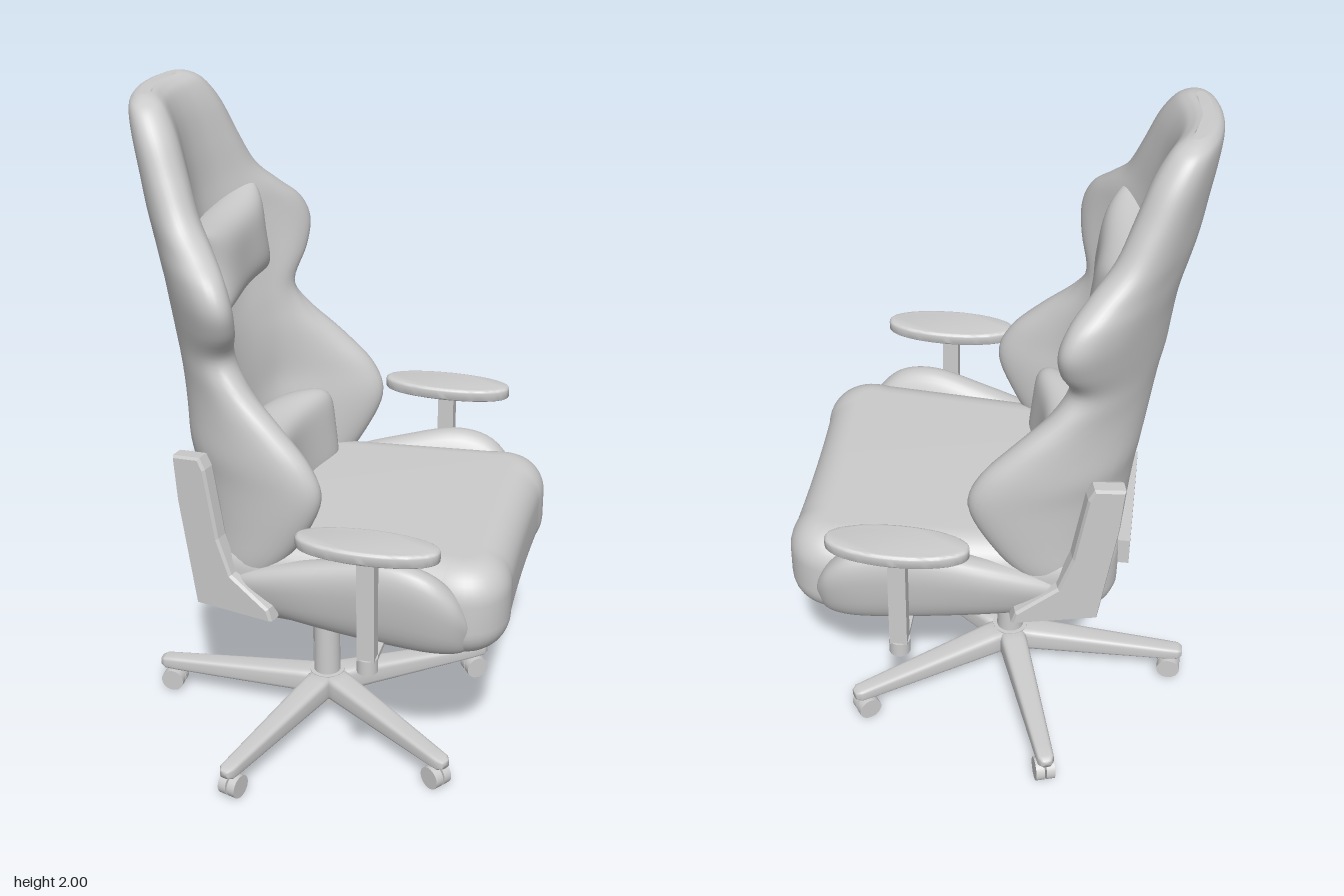
import * as THREE from 'three';
import { mergeVertices, toCreasedNormals } from 'three/addons/utils/BufferGeometryUtils.js';

const mat = new THREE.MeshStandardMaterial({ color: 0xcccccc });
const pow = (v, p) => Math.sign(v) * Math.abs(v) ** p;

function add(parent, name, geometry, x = 0, y = 0, z = 0) {
  const mesh = new THREE.Mesh(geometry, mat);
  mesh.name = name;
  mesh.position.set(x, y, z);
  parent.add(mesh);
  return mesh;
}
const box = (w, h, d) => new THREE.BoxGeometry(w, h, d);
const cyl = (r1, r2, h) => new THREE.CylinderGeometry(r1, r2, h, 32);

// Closed skin over equal-length rings, each counter-clockwise seen from the last ring
function loft(rings) {
  const n = rings[0].length, pos = [], idx = [];
  rings.forEach(r => r.forEach(p => pos.push(...p)));
  for (let i = 0; i < rings.length - 1; i++) {
    for (let j = 0; j < n; j++) {
      const a = i * n + j, b = i * n + (j + 1) % n;
      idx.push(a, b, b + n, a, b + n, a + n);
    }
  }
  [[0, true], [rings.length - 1, false]].forEach(([i, flip]) => {
    const c = pos.length / 3, r = rings[i];
    pos.push(...[0, 1, 2].map(k => r.reduce((s, p) => s + p[k], 0) / n));
    for (let j = 0; j < n; j++) {
      const a = i * n + j, b = i * n + (j + 1) % n;
      idx.push(c, flip ? b : a, flip ? a : b);
    }
  });
  const g = new THREE.BufferGeometry();
  g.setAttribute('position', new THREE.Float32BufferAttribute(pos, 3));
  g.setIndex(idx);
  g.computeVertexNormals();
  return g;
}

// Smooth samples through a table of rows with up to six columns
function sample(rows, count) {
  const curve = k => new THREE.CatmullRomCurve3(
    rows.map(r => new THREE.Vector3(r[k], r[k + 1], r[k + 2] ?? 0)), false, 'catmullrom');
  const a = curve(0), b = curve(3);
  return Array.from({ length: count + 1 }, (_, i) =>
    [...a.getPoint(i / count).toArray(), ...b.getPoint(i / count).toArray()]);
}

// Backrest: a padded section, boxy U below and shallow arc above, with thick round wings
function backrestGeometry() {
  // height, half width, rear z, wing tip z, thickness, boxiness
  const rows = [
    [0.57, 0.27, -0.45, -0.38, 0.05, 1], [0.60, 0.30, -0.475, -0.30, 0.11, 1],
    [0.70, 0.335, -0.485, -0.20, 0.13, 1], [0.82, 0.355, -0.495, -0.115, 0.13, 1],
    [0.95, 0.368, -0.51, -0.06, 0.13, 1], [1.05, 0.368, -0.525, -0.09, 0.13, 1],
    [1.15, 0.355, -0.54, -0.18, 0.13, 0.7], [1.25, 0.335, -0.555, -0.285, 0.13, 0.3],
    [1.33, 0.33, -0.57, -0.335, 0.13, 0], [1.42, 0.385, -0.58, -0.31, 0.13, 0],
    [1.50, 0.415, -0.59, -0.305, 0.13, 0], [1.57, 0.40, -0.605, -0.33, 0.13, 0],
    [1.63, 0.35, -0.62, -0.38, 0.13, 0], [1.70, 0.30, -0.635, -0.44, 0.13, 0],
    [1.80, 0.265, -0.65, -0.485, 0.13, 0], [1.90, 0.235, -0.665, -0.525, 0.125, 0],
    [1.965, 0.20, -0.67, -0.56, 0.105, 0], [1.99, 0.165, -0.66, -0.58, 0.07, 0],
    [2.0, 0.13, -0.64, -0.60, 0.03, 0],
  ];
  const half = [[0.35, 0.03], [0.65, 0.16], [0.85, 0.42], [0.96, 0.75], [1, 1]];
  return loft(sample(rows, 90).map(([y, w, zb, tip, t, k]) => {
    const z0 = zb + t / 2;
    const arm = half.map(([u, b]) => [w * u, z0 + (tip - z0) * (k * b + (1 - k) * u * u)]);
    const mirrored = arm.map(([x, z]) => [-x, z]).reverse();
    const curve = new THREE.SplineCurve([...mirrored, [0, z0], ...arm].map(p => new THREE.Vector2(...p)));
    return Array.from({ length: 72 }, (_, j) => {
      const th = j / 72 * Math.PI * 2, s = Math.sin(th);
      const v = Math.sign(Math.cos(th)) * t / 2 * Math.sqrt(Math.max(0, 1 - s ** 8));
      const c = curve.getPointAt((s + 1) / 2), d = curve.getTangentAt((s + 1) / 2);
      return [c.x - d.y * v, y, c.y + d.x * v];
    });
  }));
}

// Side bolster of the seat, swept from rear to front
function bolsterGeometry(s) {
  // z, centre x, top, bottom, half thickness
  const rows = [
    [-0.36, 0.30, 0.64, 0.58, 0.02], [-0.30, 0.325, 0.69, 0.55, 0.05],
    [-0.16, 0.355, 0.745, 0.54, 0.06], [0, 0.38, 0.79, 0.53, 0.06],
    [0.15, 0.405, 0.82, 0.53, 0.06], [0.26, 0.415, 0.80, 0.53, 0.058],
    [0.33, 0.405, 0.74, 0.53, 0.05], [0.365, 0.39, 0.67, 0.535, 0.03],
    [0.375, 0.38, 0.61, 0.55, 0.01],
  ];
  return loft(sample(rows, 40).map(([z, x, top, bottom, h]) =>
    Array.from({ length: 32 }, (_, j) => {
      const a = j / 32 * Math.PI * 2, sn = pow(Math.sin(a), 0.8);
      return [s * (x + 0.025 * sn) + h * pow(Math.cos(a), 0.8),
        (top + bottom) / 2 + (top - bottom) / 2 * sn, z];
    })));
}

// Stuffed pillow: pinched or rounded outline, bent along its width
function pillowGeometry(w, h, d, { pinch = 0, round = 0, bend = 0, plump = 4 }) {
  const g = new THREE.BoxGeometry(2, 2, 2, 32, 28, 1), p = g.attributes.position;
  for (let i = 0; i < p.count; i++) {
    const u = Math.sin(p.getX(i) * Math.PI / 2), v = Math.sin(p.getY(i) * Math.PI / 2);
    const t = d * Math.sqrt(Math.max(0, (1 - Math.abs(u) ** plump) * (1 - Math.abs(v) ** plump)));
    p.setXYZ(i, w * u * (1 - pinch * (1 - v * v) - round * v ** 6),
      h * v * (1 - pinch * (1 - u * u) - round * u ** 6),
      Math.sign(p.getZ(i)) * t + bend * u * u);
  }
  g.deleteAttribute('normal');
  g.deleteAttribute('uv');
  const m = mergeVertices(g, 1e-5);
  m.computeVertexNormals();
  return m;
}

// Seat cushion: tapered plan with rounded corners and soft edges
function seatGeometry() {
  const r = 0.1, e = new THREE.Shape();
  e.moveTo(-0.22, 0.38);
  e.lineTo(0.22, 0.38);
  e.quadraticCurveTo(0.265, 0.37, 0.275, 0.28);
  e.lineTo(0.32, -0.30);
  e.quadraticCurveTo(0.345, -0.385, 0.26, -0.365);
  e.quadraticCurveTo(0, -0.355, -0.26, -0.365);
  e.quadraticCurveTo(-0.345, -0.385, -0.32, -0.30);
  e.lineTo(-0.275, 0.28);
  e.quadraticCurveTo(-0.265, 0.37, -0.22, 0.38);
  const g = new THREE.ExtrudeGeometry(e, { depth: 0.285 - 2 * r, bevelThickness: r, bevelSize: r,
    bevelSegments: 10, curveSegments: 16 });
  g.translate(0, 0, r).rotateX(-Math.PI / 2);
  return toCreasedNormals(g, 0.7);
}

// Arm pad: a flat oval with a soft rim
function padGeometry() {
  const e = new THREE.Shape().absellipse(0, 0, 0.06, 0.19, 0, Math.PI * 2);
  const g = new THREE.ExtrudeGeometry(e, { depth: 0.02, bevelThickness: 0.01, bevelSize: 0.01,
    bevelSegments: 4, curveSegments: 32 });
  return toCreasedNormals(g.rotateX(-Math.PI / 2), 0.7);
}

// L-shaped bracket joining seat and backrest
function bracketGeometry() {
  const pts = [[-0.43, 0.575], [-0.19, 0.58], [-0.20, 0.61], [-0.32, 0.69], [-0.36, 0.8],
    [-0.395, 1.01], [-0.41, 1.04], [-0.49, 1.03], [-0.48, 0.9]];
  const g = new THREE.ExtrudeGeometry(new THREE.Shape(pts.map(p => new THREE.Vector2(...p))),
    { depth: 0.035, bevelThickness: 0.01, bevelSize: 0.005, bevelSegments: 1 });
  return g.translate(0.3, 0, -0.0175).rotateY(-Math.PI / 2);
}

// Base leg: rounded bar tapering outwards
function legGeometry() {
  const rows = [[0, 0.045, 0.155, 0.07], [0.08, 0.042, 0.15, 0.07], [0.5, 0.027, 0.118, 0.073],
    [0.54, 0.025, 0.115, 0.075], [0.555, 0.015, 0.108, 0.082]];
  return loft(rows.map(([z, w, top, bottom]) => Array.from({ length: 24 }, (_, j) => {
    const a = j / 24 * Math.PI * 2;
    return [w * pow(Math.cos(a), 0.5),
      (top + bottom) / 2 + (top - bottom) / 2 * pow(Math.sin(a), 0.5), z];
  })));
}

export function createModel() {
  const model = new THREE.Group();
  model.name = 'officeChair';
  const chair = new THREE.Group();
  chair.name = 'turnedChair';
  chair.rotation.y = THREE.MathUtils.degToRad(46.6);
  model.add(chair);

  // Upholstery
  add(chair, 'seatCushion', seatGeometry(), 0, 0.515, 0);
  add(chair, 'backrest', backrestGeometry());
  const neck = add(chair, 'neckPillow',
    pillowGeometry(0.255, 0.145, 0.08, { pinch: 0.15, bend: 0.02 }), 0, 1.52, -0.44);
  neck.rotation.x = -0.12;
  const lumbar = add(chair, 'lumbarPillow',
    pillowGeometry(0.27, 0.15, 0.085, { round: 0.12, bend: 0.09, plump: 6 }), 0, 0.865, -0.31);
  lumbar.rotation.x = -0.1;
  add(chair, 'rearBar', box(0.42, 0.085, 0.035), 0, 0.69, -0.495);

  // Paired side parts
  for (const s of [-1, 1]) {
    const side = s > 0 ? 'left' : 'right';
    add(chair, side + 'Bolster', bolsterGeometry(s));
    add(chair, side + 'BackBracket', bracketGeometry(), s * 0.38, 0, -0.3).rotation.y = s * 0.25;
    const arm = new THREE.Group();
    arm.name = side + 'Armrest';
    arm.position.set(s * 0.53, 0, 0.113);
    chair.add(arm);
    add(arm, 'armPad', padGeometry(), 0, 0.91, 0);
    add(arm, 'armPost', box(0.046, 0.34, 0.05), 0, 0.74, 0);
    add(arm, 'armFoot', cyl(0.03, 0.03, 0.045), 0, 0.552, 0);
    add(arm, 'armBracket', box(0.22, 0.015, 0.04), -s * 0.11, 0.545, 0);
  }

  // Swivel base with gas column and five castered legs
  const base = new THREE.Group();
  base.name = 'swivelBase';
  base.position.set(-0.008, 0, -0.148);
  chair.add(base);
  add(base, 'seatMount', cyl(0.05, 0.05, 0.03), 0, 0.505, 0);
  add(base, 'columnCollar', cyl(0.042, 0.038, 0.05), 0, 0.467, 0);
  add(base, 'columnUpper', cyl(0.029, 0.029, 0.16), 0, 0.38, 0);
  add(base, 'columnLower', cyl(0.04, 0.042, 0.19), 0, 0.225, 0);
  add(base, 'hub', cyl(0.055, 0.042, 0.11), 0, 0.098, 0);
  for (let i = 0; i < 5; i++) {
    const leg = new THREE.Group();
    leg.name = 'castorLeg' + (i + 1);
    leg.rotation.y = Math.PI + i * Math.PI * 2 / 5;
    base.add(leg);
    add(leg, 'leg', legGeometry());
    add(leg, 'castorStem', cyl(0.012, 0.012, 0.05), 0, 0.06, 0.515);
    for (const s of [-1, 1]) {
      add(leg, 'castorWheel', cyl(0.036, 0.036, 0.026), s * 0.016, 0.036, 0.515).rotation.z = Math.PI / 2;
    }
  }
  return model;
}
